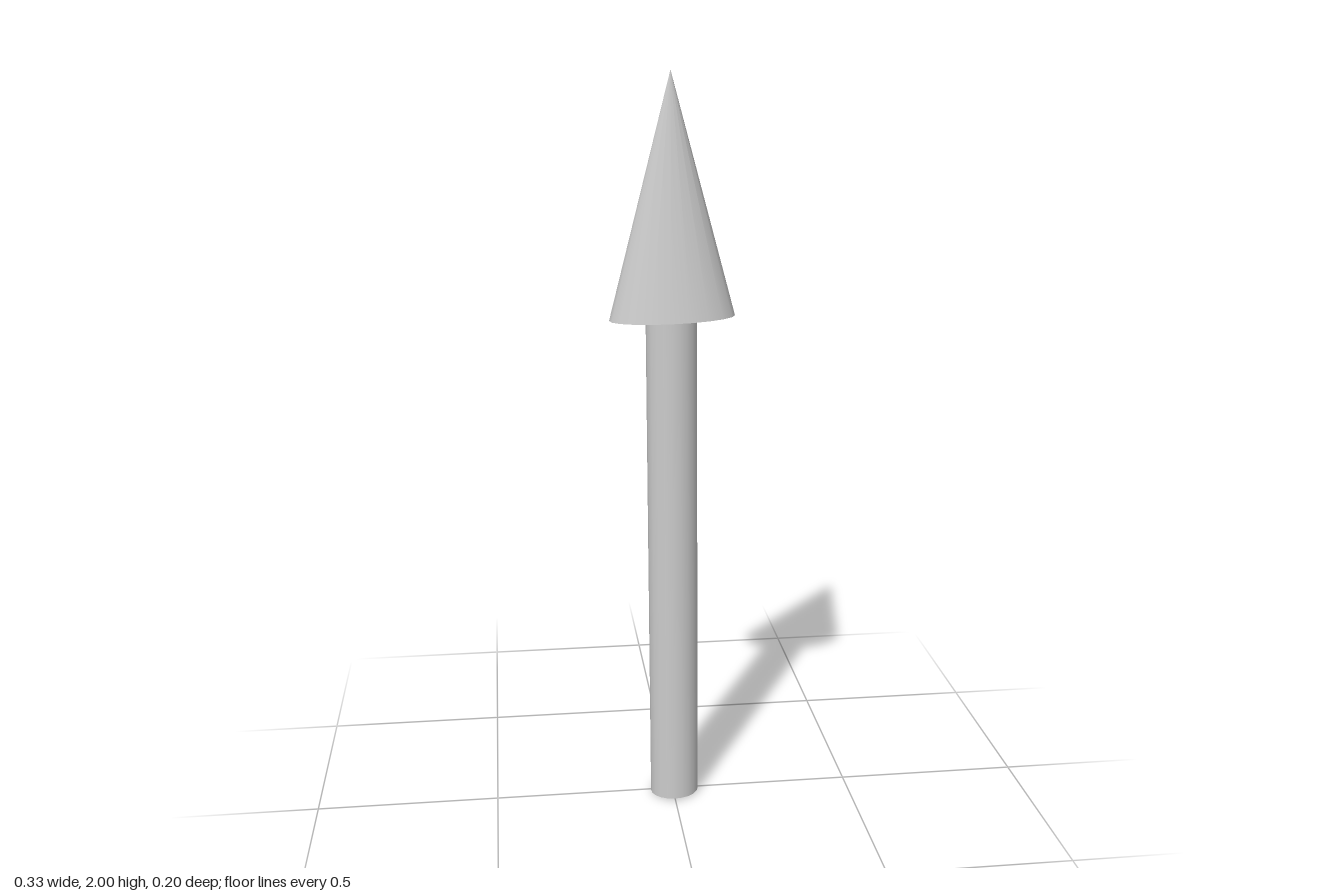
import * as THREE from 'three';

const SIDES = 20;
const TILT_X = 0.03, TILT_Z = 0.035; // slight slant of the end faces

// Elliptical round part whose axis runs from point a to point b, with slanted ends
function roundPart(name, topRadius, rx, rz, a, b) {
  const geo = new THREE.CylinderGeometry(topRadius, 1, 1, SIDES);
  geo.translate(0, 0.5, 0).rotateY(-0.08);
  geo.applyMatrix4(new THREE.Matrix4().set(
    rx, b[0] - a[0], 0, a[0],
    TILT_X * rx, b[1] - a[1], TILT_Z * rz, a[1],
    0, b[2] - a[2], rz, a[2],
    0, 0, 0, 1));
  const mesh = new THREE.Mesh(geo, new THREE.MeshStandardMaterial({ color: 0xcccccc }));
  mesh.name = name;
  return mesh;
}

export function createModel() {
  const group = new THREE.Group();
  group.name = 'arrow';
  // straight shaft, ending just inside the head
  group.add(roundPart('shaft', 1, 0.067, 0.061, [0.004, 0.004, 0.01], [-0.004, 1.385, 0.004]));
  // flattened pointed head
  group.add(roundPart('head', 0, 0.165, 0.1, [-0.001, 1.374, -0.001], [-0.005, 2, -0.004]));
  return group;
}
